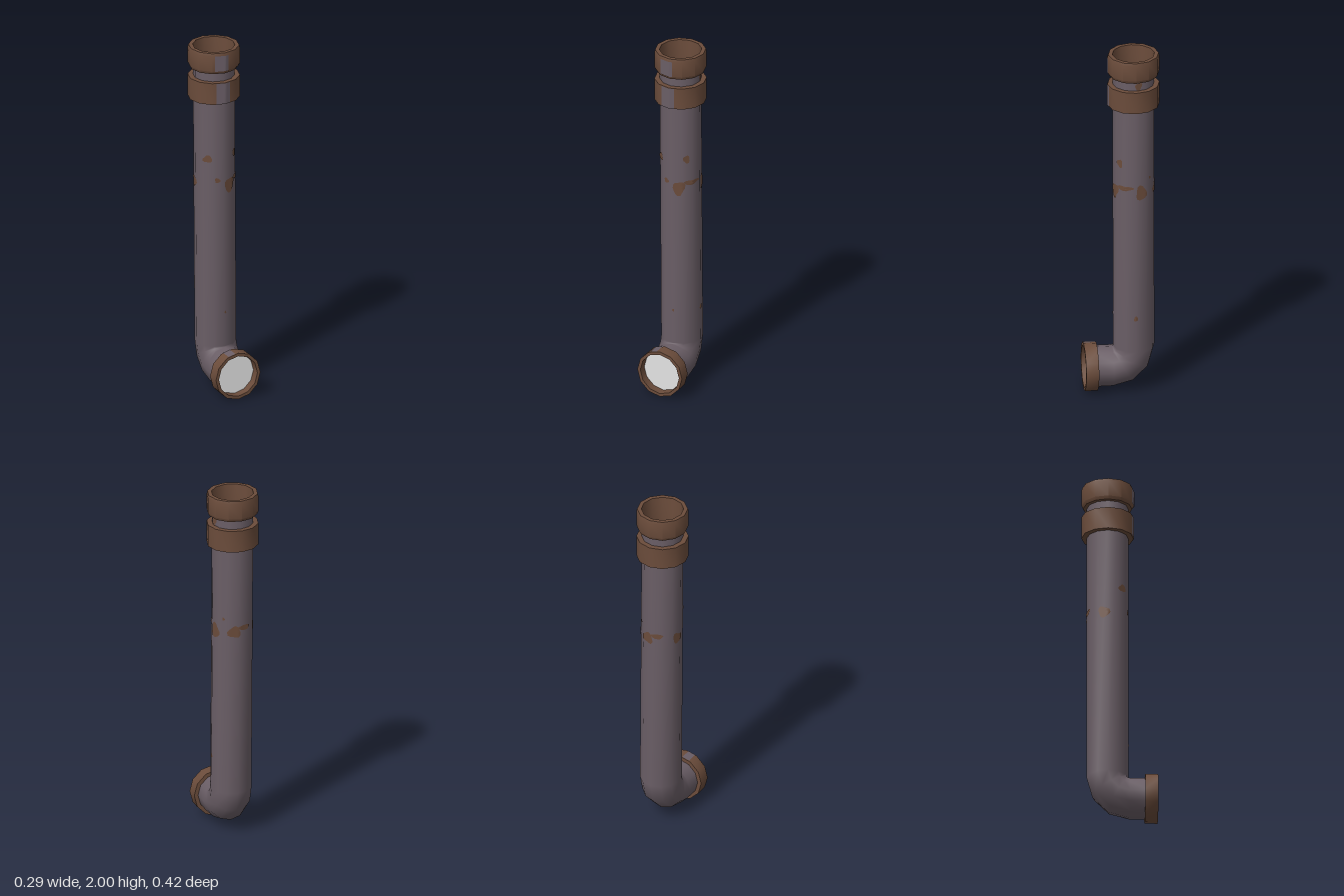
import * as THREE from 'three';
import { toCreasedNormals } from 'three/addons/utils/BufferGeometryUtils.js';

const SIDES = 12;
const PIPE_R = 0.114;
const AXIS_Z = -0.067;
const rad = THREE.MathUtils.degToRad;

// The upright leans very slightly in x
const axisX = (y) => 0.007 - 0.011 * (y - 0.26) / 1.74;

// Wraps a flat geometry (x in degrees, y in height) around a twelve-sided surface
function wrap(geo, radius, centreX) {
  const p = geo.attributes.position;
  for (let i = 0; i < p.count; i++) {
    const deg = p.getX(i), y = p.getY(i);
    const local = (((deg % 30) + 30) % 30) - 15;
    const r = radius * Math.cos(rad(15)) / Math.cos(rad(local)) + 0.003;
    p.setXYZ(i, centreX(y) + r * Math.sin(rad(deg)), y, r * Math.cos(rad(deg)));
  }
  geo.computeVertexNormals();
  return geo;
}

// Irregular spot centred at an angle and height
function blob(deg, y, halfDeg, halfY, seed) {
  const geo = new THREE.RingGeometry(0.01, 1, 14, 4);
  const p = geo.attributes.position;
  for (let i = 0; i < p.count; i++) {
    const a = Math.atan2(p.getY(i), p.getX(i));
    const k = 1 + 0.16 * Math.sin(3 * a + seed) + 0.1 * Math.sin(2 * a + seed * 2);
    p.setXY(i, deg + p.getX(i) * halfDeg * k, y + p.getY(i) * halfY * k);
  }
  return wrap(geo, PIPE_R, axisX);
}

// Vertical band of a given angular width
function strip(deg, width, y0, y1, radius, centreX) {
  const geo = new THREE.PlaneGeometry(width, y1 - y0, 12, 1);
  geo.translate(deg, (y0 + y1) / 2, 0);
  return wrap(geo, radius, centreX);
}

function ring(profile) {
  const pts = profile.map(([r, y]) => new THREE.Vector2(r, y));
  return toCreasedNormals(new THREE.LatheGeometry(pts, SIDES), 0.62);
}

// Tube through stations, each given as centre and bend angle
function pipeGeometry(stations) {
  const pos = [], idx = [];
  stations.forEach(({ x, y, z, bend }) => {
    for (let j = 0; j < SIDES; j++) {
      const a = j / SIDES * Math.PI * 2, c = PIPE_R * Math.cos(a);
      pos.push(x + PIPE_R * Math.sin(a), y + c * Math.sin(bend), z + c * Math.cos(bend));
    }
  });
  for (let i = 0; i < stations.length - 1; i++) {
    for (let j = 0; j < SIDES; j++) {
      const a = i * SIDES + j, b = i * SIDES + (j + 1) % SIDES;
      idx.push(a, b, b + SIDES, a, b + SIDES, a + SIDES);
    }
  }
  const geo = new THREE.BufferGeometry();
  geo.setAttribute('position', new THREE.Float32BufferAttribute(pos, 3));
  geo.setIndex(idx);
  geo.computeVertexNormals();
  return geo;
}

export function createModel() {
  const make = (name, color) => {
    const m = new THREE.MeshStandardMaterial({ color, side: THREE.DoubleSide });
    m.name = name;
    return m;
  };
  const metal = make('dull metal', 0x6a5e66);
  const rust = make('rust brown', 0x6b4c3b);
  const pale = make('pale grey', 0xe4e4e4);

  const model = new THREE.Group();
  model.name = 'pipe';
  const upright = new THREE.Group();
  upright.name = 'upright';
  upright.position.z = AXIS_Z;
  model.add(upright);
  const add = (parent, name, geo, mat, x = 0, y = 0, z = 0) => {
    const mesh = new THREE.Mesh(geo, mat);
    mesh.name = name;
    mesh.position.set(x, y, z);
    parent.add(mesh);
    return mesh;
  };

  // Pipe: mouth, elbow, then straight upright
  const bendR = 0.12, cz = AXIS_Z + bendR, cy = 0.26;
  const stations = [{ x: 0.007, y: cy - bendR, z: 0.16, bend: Math.PI / 2 }];
  for (let i = 3; i >= 0; i--) {
    const t = i / 3 * Math.PI / 2;
    stations.push({ x: 0.007, y: cy - bendR * Math.sin(t), z: cz - bendR * Math.cos(t), bend: t });
  }
  stations.push({ x: axisX(1.9), y: 1.9, z: AXIS_Z, bend: 0 });
  add(model, 'pipeBody', pipeGeometry(stations), metal);

  // Upper collars
  const topX = -0.003;
  add(upright, 'topCollar', ring([
    [0.112, 1.877], [0.134, 1.878], [0.143, 1.895], [0.143, 1.985], [0.139, 2.0],
    [0.116, 2.0], [0.111, 1.88], [0.111, 1.83],
  ]), rust, topX);
  add(upright, 'lowerCollar', ring([
    [0.112, 1.7], [0.143, 1.7], [0.143, 1.825], [0.112, 1.825],
  ]), rust, topX);
  const topDisc = add(upright, 'topPlug', new THREE.CircleGeometry(0.113, SIDES), pale, topX, 1.835, 0);
  topDisc.rotation.x = -Math.PI / 2;

  // Bare metal worn through the collars
  add(upright, 'topCollarWear', strip(-8, 32, 1.895, 1.985, 0.143, () => topX), metal);
  add(upright, 'lowerCollarWear', strip(-4, 33, 1.702, 1.823, 0.143, () => topX), metal);

  // Mouth collar, laid along z
  const mouth = new THREE.Group();
  mouth.name = 'mouth';
  mouth.position.set(0.007, 0.14, 0);
  mouth.rotation.x = Math.PI / 2;
  model.add(mouth);
  add(mouth, 'mouthCollar', ring([
    [0.112, 0.137], [0.136, 0.137], [0.136, 0.208], [0.118, 0.208], [0.116, 0.14],
  ]), rust);
  add(mouth, 'mouthCollarWear', strip(196, 18, 0.139, 0.207, 0.136, () => 0), metal);
  add(model, 'mouthPlug', new THREE.CircleGeometry(0.118, SIDES), pale, 0.007, 0.14, 0.162);

  // Rust spots: angle, height, half width in degrees, half height
  const spots = [
    [20, 1.205, 17, 0.042], [-18, 1.24, 8, 0.014], [-46, 1.365, 13, 0.022],
    [42, 1.38, 10, 0.022], [58, 1.237, 23, 0.015], [106, 1.21, 17, 0.04],
    [166, 1.215, 17, 0.036], [195, 1.238, 20, 0.014], [258, 1.21, 15, 0.035],
    [90, 0.46, 6, 0.014], [2, 0.46, 3, 0.008], [98, 1.85, 10, 0.022],
    [135, 1.29, 4, 0.008],
  ];
  spots.forEach(([a, y, w, h], i) => add(upright, 'rustSpot', blob(a, y, w, h, i * 1.7), rust));

  return model;
}
